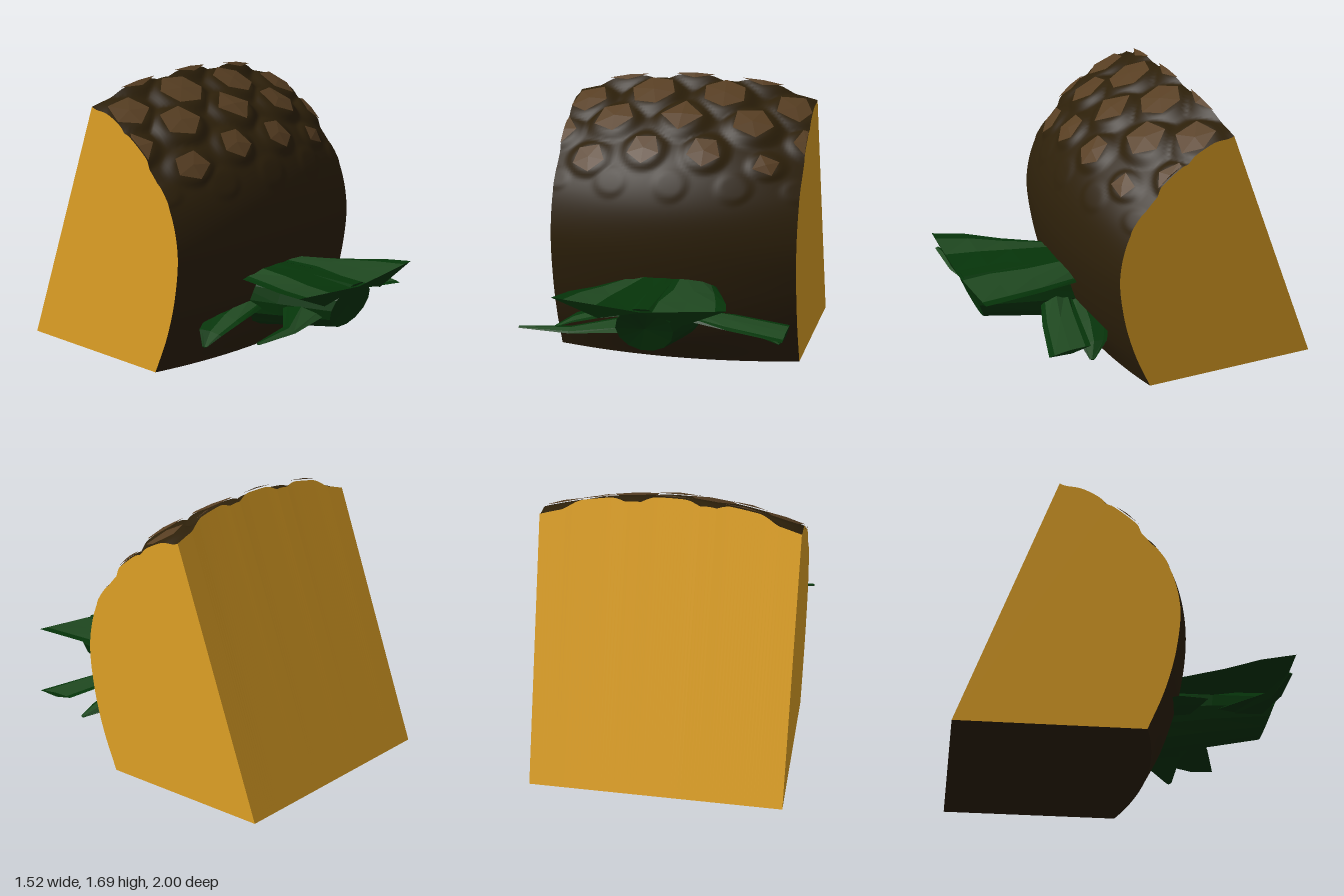
import * as THREE from 'three';

const mat = (name, color, side = THREE.FrontSide) => {
  const m = new THREE.MeshStandardMaterial({ color, side });
  m.name = name;
  return m;
};
const rindMat = mat('dark rind', 0x2d200a);
const eyeMat = mat('rind eyes', 0x573e22);
const fleshMat = mat('flesh', 0xe2a326);
const leafMat = mat('dark leaf', 0x06350a, THREE.DoubleSide);
const lightLeafMat = mat('light leaf', 0x1f4820, THREE.DoubleSide);

const HALF = 0.76, LENGTH = 2.08, NX = 80, NT = 100;

// Rind profiles as (z, y): middle of the chunk and its cut sides
const curve = pts => new THREE.CatmullRomCurve3(pts.map(([z, y]) => new THREE.Vector3(0, y, z)));
const middle = curve([[.18, 0], [.29, .22], [.37, .5], [.4, .78], [.365, 1.02], [.25, 1.24], [.06, 1.41], [-.16, 1.53], [-.388, 1.635]]);
const side = curve([[.08, 0], [.18, .24], [.25, .5], [.275, .78], [.215, 1.02], [.11, 1.17], [-.02, 1.3], [-.2, 1.425], [-.43, 1.535]]);

// Eyes: x, position along profile (0 to 8), radius, height, sides, turn
const eyes = [
  [0, 8.4, .15, .05, 6, 0], [.43, 8.4, .15, .05, 6, 0], [-.43, 8.4, .15, .05, 6, 0],
  [.22, 7.3, .14, .048, 6, .1], [-.23, 7.3, .145, .048, 6, .3],
  [.66, 7.25, .13, .042, 5, .3], [-.65, 7.25, .13, .042, 5, 0],
  [0, 6.38, .13, .045, 4, 0], [.43, 6.4, .13, .045, 5, .3], [-.43, 6.38, .13, .045, 5, .1],
  [.8, 6.2, .12, .035, 5, 0], [-.8, 6.2, .13, .035, 5, .2],
  [.18, 5.38, .105, .032, 5, 0], [-.19, 5.38, .105, .032, 5, 0],
  [.55, 5.2, .085, .025, 4, .5], [-.54, 5.15, .11, .03, 5, .1],
];
const faintBumps = [0, .38, -.38, .76, -.76].map(x => [x, 4.5, .08, .016]);

function bumpHeight(x, t) {
  let h = 0;
  for (const [ex, et, r, eh] of [...eyes, ...faintBumps]) {
    const d = Math.hypot(x - ex, (t - et / 8) * LENGTH) / r;
    h = Math.max(h, (eh - .009) * (1 - THREE.MathUtils.smoothstep(d, .85, 1.6)));
  }
  return h;
}

// Point on the rind, raised outwards by h
function rindPoint(x, t, h) {
  x = THREE.MathUtils.clamp(x, -HALF, HALF);
  t = THREE.MathUtils.clamp(t, 0, 1);
  const a = middle.getPoint(t), b = side.getPoint(t);
  const out = a.clone().sub(b).normalize();
  const p = a.lerp(b, (x / HALF) ** 2).addScaledVector(out, h);
  p.x = x;
  return p;
}

// Skin over rows of points
function loft(rows, flat = false) {
  const n = rows[0].length, index = [];
  for (let j = 0; j < rows.length - 1; j++) for (let i = 0; i < n - 1; i++) {
    const a = j * n + i, b = a + n;
    index.push(a, a + 1, b + 1, a, b + 1, b);
  }
  return finish(rows.flat(), index, flat);
}

function finish(points, index, flat) {
  let g = new THREE.BufferGeometry().setFromPoints(points);
  g.setIndex(index);
  if (flat) g = g.toNonIndexed();
  g.computeVertexNormals();
  return g;
}

function fan(center, rim) {
  const index = [];
  for (let i = 1; i < rim.length; i++) index.push(0, i, i + 1);
  return finish([center, ...rim], index, true);
}

// Leaf with a rimmed, ribbed top and a keel; each section is [left edge, right edge, rib lift, thickness]
function leafRows(sections) {
  return sections.map(([l, r, lift, thick]) => {
    const L = new THREE.Vector3(...l), R = new THREE.Vector3(...r);
    const ring = [0, .13, .5, .87, 1].map(f => {
      const p = L.clone().lerp(R, f);
      p.y += lift * 4 * f * (1 - f);
      return p;
    });
    const keel = L.clone().lerp(R, .5);
    keel.y += lift - thick;
    keel.z -= thick * .4;
    return [...ring, keel, L.clone()];
  });
}

export function createModel() {
  const group = new THREE.Group();
  const add = (name, geometry, material, parent = group) => {
    const m = new THREE.Mesh(geometry, material);
    m.name = name;
    parent.add(m);
  };

  // Bumpy rind
  const rows = [];
  for (let j = 0; j <= NT; j++) {
    const row = [];
    for (let i = 0; i <= NX; i++) {
      const x = HALF * (2 * i / NX - 1), t = j / NT;
      row.push(rindPoint(x, t, bumpHeight(x, t)));
    }
    rows.push(row);
  }
  add('rind', loft(rows), rindMat);

  // Lighter faceted caps of the eyes
  for (const [x, et, r, h, n, turn] of eyes) {
    const rim = [];
    for (let k = 0; k <= n; k++) {
      const a = -Math.PI / 2 + turn + k / n * Math.PI * 2;
      rim.push(rindPoint(x + r * Math.cos(a), et / 8 + r * Math.sin(a) / LENGTH, h));
    }
    add('rindEye', fan(rindPoint(x, et / 8, h + .006), rim), eyeMat);
  }

  // Cut faces and underside
  const heel = rows[0].map(p => new THREE.Vector3(p.x, 0, -1));
  add('backCut', loft([rows[NT], heel], true), fleshMat);
  add('underside', loft([heel, rows[0]], true), rindMat);
  add('leftCut', fan(heel[NX], rows.map(r => r[NX]).reverse()), fleshMat);
  add('rightCut', fan(heel[0], rows.map(r => r[0])), fleshMat);

  // Crown core, a tapering stalk with a slanted end
  const crown = new THREE.Group();
  crown.name = 'crown';
  group.add(crown);
  const ring = (z, slant, cy, rx, ry) => Array.from({ length: 15 }, (_, k) => {
    const a = k / 14 * Math.PI * 2;
    return new THREE.Vector3(rx * Math.cos(a), cy + ry * Math.sin(a), z + slant * Math.sin(a));
  });
  const end = ring(.935, .055, .435, .17, .145);
  add('crownCore', loft([ring(.15, 0, .355, .21, .215), ring(.55, .02, .4, .205, .18), end], true), leafMat, crown);
  add('crownEnd', fan(new THREE.Vector3(0, .435, .92), end), leafMat, crown);

  // Leaves with some light upper facets
  const addLeaf = (name, lightFacets, sections) => {
    const r = leafRows(sections);
    const leaf = new THREE.Group();
    leaf.name = name;
    crown.add(leaf);
    for (let k = 0; k < 6; k++) {
      const strip = loft(r.map(p => p.slice(k, k + 2)), true);
      add('leafFacet', strip, lightFacets.includes(k) ? lightLeafMat : leafMat, leaf);
    }
    const tip = r[r.length - 1];
    add('leafEnd', fan(tip[0], tip.slice(1, 6)), leafMat, leaf);
  };

  addLeaf('rightMainLeaf', [1], [
    [[-.26, .52, .25], [.02, .57, .25], .02, .1],
    [[-.39, .56, .6], [.02, .575, .6], .01, .1],
    [[-.48, .59, .8], [.01, .57, .8], 0, .09],
    [[-.53, .61, 1], [0, .56, 1], 0, .09]]);
  addLeaf('leftMainLeaf', [1, 2], [
    [[.04, .57, .25], [.26, .52, .25], .02, .1],
    [[.05, .575, .6], [.38, .56, .6], .01, .1],
    [[.0, .57, .82], [.45, .59, .82], 0, .09],
    [[0, .56, 1], [.49, .605, 1], 0, .09]]);

  addLeaf('rightLongLeaf', [2, 3], [
    [[-.1, .38, .5], [-.1, .38, .85], .05, .06],
    [[-.46, .385, .82], [-.46, .37, .915], .015, .035],
    [[-.76, .385, .89], [-.76, .38, .915], .005, .012]]);
  addLeaf('leftWideLeaf', [1, 2], [
    [[.1, .37, .33], [.1, .37, .52], .05, .07],
    [[.42, .385, .4], [.42, .36, .63], .015, .04],
    [[.76, .365, .46], [.76, .345, .72], .01, .025]]);
  for (const s of [1, -1]) addLeaf(s > 0 ? 'leftLowLeaf' : 'rightLowLeaf', [2], [
    [[s * .1, .37, .15], [s * .1, .35, .4], .04, .07],
    [[s * .42, .33, .2], [s * .42, .31, .45], .015, .04],
    [[s * .6, .28, .29], [s * .58, .27, .45], .01, .03],
    [[s * .7, .23, .41], [s * .69, .23, .44], 0, .008]]);

  return group;
}
